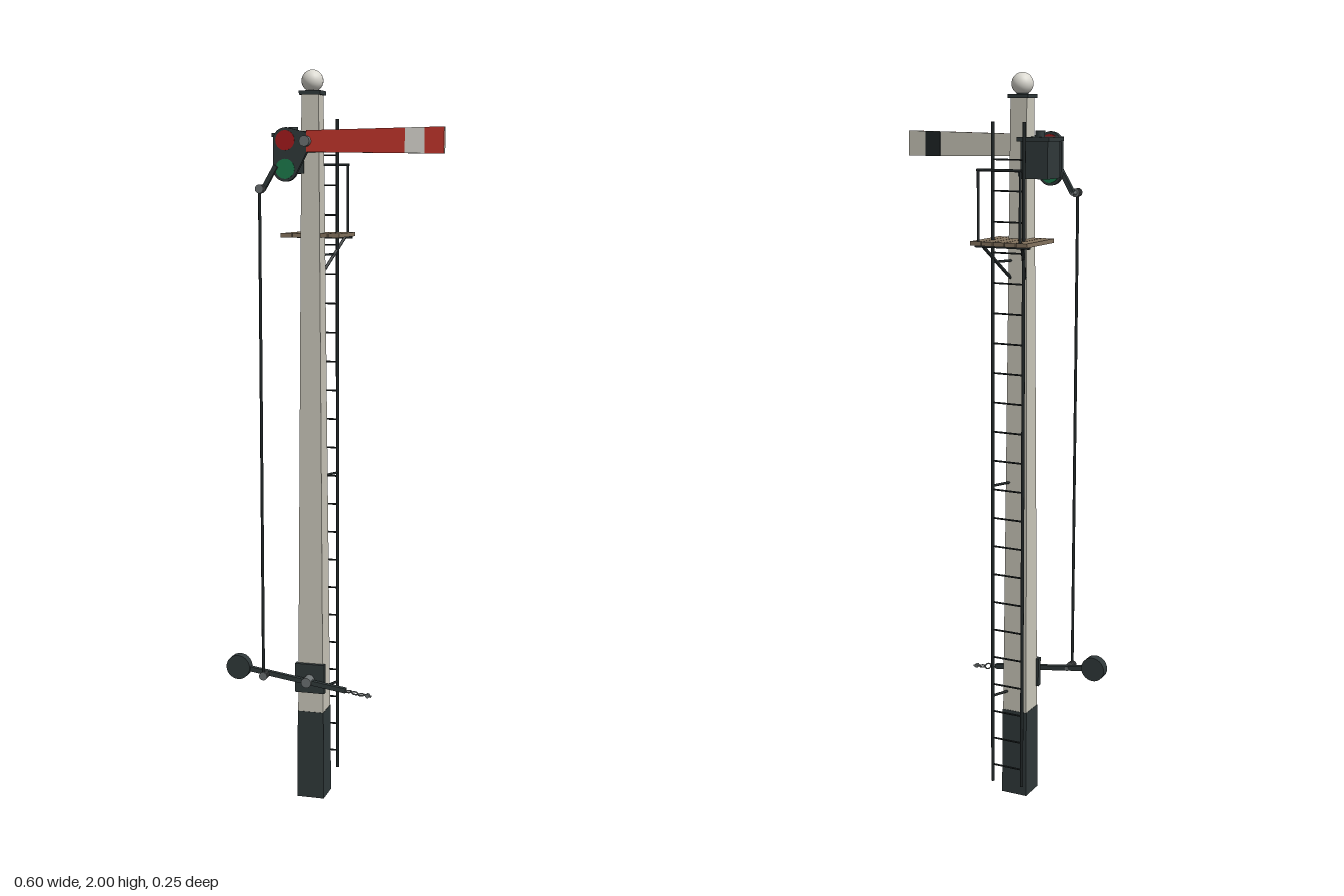
import * as THREE from 'three';

const mat = (name, color, extra = {}) => {
  const m = new THREE.MeshStandardMaterial({ color, ...extra });
  m.name = name;
  return m;
};

export function createModel() {
  const cream = mat('cream paint', 0xcac7ba);
  const white = mat('white paint', 0xdcdad2);
  const dark = mat('dark iron', 0x30393a);
  const black = mat('black iron', 0x1f2526);
  const steel = mat('steel', 0x6b7172);
  const red = mat('signal red', 0xc2352b);
  const redGlass = mat('red glass', 0xa31a1c);
  const greenGlass = mat('green glass', 0x1c7a4c);
  const wood = mat('weathered wood', 0x85745f);

  const model = new THREE.Group();
  model.name = 'semaphoreSignal';
  const PX = -0.07, PZ = 0.02;
  const V = (x, y, z) => new THREE.Vector3(x, y, z);

  const add = (name, geo, m, x = 0, y = 0, z = 0) => {
    const mesh = new THREE.Mesh(geo, m);
    mesh.name = name;
    mesh.position.set(x, y, z);
    model.add(mesh);
    return mesh;
  };
  // box given by its limits on each axis
  const box = (name, m, x0, x1, y0, y1, z0, z1) =>
    add(name, new THREE.BoxGeometry(x1 - x0, y1 - y0, z1 - z0), m, (x0 + x1) / 2, (y0 + y1) / 2, (z0 + z1) / 2);
  // round bar between two points
  const bar = (name, m, a, b, r, sides = 8) => {
    const mesh = add(name, new THREE.CylinderGeometry(r, r, a.distanceTo(b), sides), m);
    mesh.position.copy(a).lerp(b, 0.5);
    mesh.quaternion.setFromUnitVectors(V(0, 1, 0), b.clone().sub(a).normalize());
    return mesh;
  };
  // disc or pin lying along z
  const disc = (name, m, x, y, z0, z1, r, sides = 20) =>
    bar(name, m, V(x, y, z0), V(x, y, z1), r, sides);
  // flat bar in the xy plane
  const strap = (name, m, x0, y0, x1, y1, w, z0, z1) => {
    const mesh = add(name, new THREE.BoxGeometry(Math.hypot(x1 - x0, y1 - y0), w, z1 - z0), m,
      (x0 + x1) / 2, (y0 + y1) / 2, (z0 + z1) / 2);
    mesh.rotation.z = Math.atan2(y1 - y0, x1 - x0);
    return mesh;
  };
  // tapered square timber
  const timber = (name, m, y0, y1, w0, w1) => {
    const g = new THREE.CylinderGeometry(w1 * Math.SQRT1_2, w0 * Math.SQRT1_2, y1 - y0, 4).rotateY(Math.PI / 4).toNonIndexed();
    g.computeVertexNormals();
    return add(name, g, m, PX, (y0 + y1) / 2, PZ);
  };

  // post, cap and ball finial
  timber('postBase', dark, 0, 0.25, 0.076, 0.074);
  timber('post', cream, 0.25, 1.935, 0.072, 0.047);
  timber('postCap', dark, 1.934, 1.945, 0.058, 0.058);
  bar('finialNeck', dark, V(PX, 1.94, PZ), V(PX, 1.952, PZ), 0.016, 16);
  add('ballFinial', new THREE.SphereGeometry(0.029, 24, 16), white, PX, 1.971, PZ);

  // ladder with stays back to the post
  const LZ = -0.063;
  for (const s of [-1, 1]) {
    const x = PX + s * 0.045;
    bar('ladderStile', black, V(x, 0.05, LZ), V(x, 1.875, LZ), 0.0047);
  }
  for (let i = 0; i < 22; i++) {
    const y = 0.1 + i * 0.08;
    bar('ladderRung', black, V(PX - 0.045, y, LZ), V(PX + 0.045, y, LZ), 0.0025, 6);
  }
  for (const y of [0.305, 0.91, 1.515])
    for (const s of [-1, 1])
      bar('ladderStay', black, V(PX + s * 0.018, y, -0.002), V(PX + s * 0.045, y, LZ), 0.0035, 6);

  // platform planks, bearers and struts
  for (let i = 0; i < 5; i++) {
    const x = -0.154 + i * 0.033;
    box('platformPlank', wood, x, x + 0.0305, 1.562, 1.573, -0.126, 0.04);
  }
  for (const s of [-1, 1]) {
    bar('platformStrut', black, V(PX + s * 0.058, 1.562, -0.1), V(PX + s * 0.02, 1.465, 0), 0.0045, 6);
    bar('handrailPost', black, V(PX + s * 0.06, 1.565, -0.116), V(PX + s * 0.06, 1.755, -0.116), 0.0037);
  }
  box('platformBearer', black, -0.15, 0.006, 1.556, 1.562, -0.105, -0.095);
  bar('handrail', black, V(PX - 0.064, 1.755, -0.116), V(PX + 0.064, 1.755, -0.116), 0.0037);

  // lamp
  const LX = -0.125;
  box('lampBody', dark, LX - 0.039, LX + 0.039, 1.73, 1.825, -0.025, 0.052);
  box('lampRoof', dark, LX - 0.0465, LX + 0.0465, 1.825, 1.836, -0.033, 0.06);
  bar('lampVent', dark, V(LX, 1.836, 0.0135), V(LX, 1.852, 0.0135), 0.0125, 16);
  disc('lampLens', steel, LX - 0.005, 1.815, 0.05, 0.06, 0.02);
  box('lampBracket', dark, LX, PX, 1.735, 1.747, -0.005, 0.035);

  // semaphore arm, red in front and white behind, each with its stripe
  const slab = (name, m, x0, x1, z, depth) => {
    const h = x => 0.028 + 0.006 * (x + 0.07) / 0.368;
    const s = new THREE.Shape();
    s.moveTo(x0, -h(x0));
    s.lineTo(x1, -h(x1));
    s.lineTo(x1, h(x1));
    s.lineTo(x0, h(x0));
    return add(name, new THREE.ExtrudeGeometry(s, { depth, bevelEnabled: false }), m, 0, 1.813, z);
  };
  slab('armBoard', cream, -0.07, 0.298, 0.068, 0.013);
  slab('armFront', red, -0.07, 0.195, 0.081, 0.002);
  slab('armTip', red, 0.247, 0.298, 0.081, 0.002);
  slab('armFrontStripe', white, 0.195, 0.247, 0.081, 0.002);
  slab('armBackStripe', black, 0.2, 0.245, 0.0662, 0.0018);

  // pivot
  box('pivotBracket', dark, PX - 0.025, -0.025, 1.785, 1.84, 0.042, 0.064);
  disc('pivotBoss', steel, PX, 1.813, 0.06, 0.101, 0.014);

  // spectacle casting with two coloured glasses
  const SX = -0.128;
  const plate = new THREE.Shape();
  plate.moveTo(PX + 0.004, 1.835);
  plate.lineTo(SX, 1.85);
  plate.absarc(SX, 1.816, 0.033, Math.PI / 2, Math.PI, false);
  plate.lineTo(SX - 0.033, 1.742);
  plate.absarc(SX, 1.742, 0.033, Math.PI, Math.PI * 1.9, false);
  plate.lineTo(PX + 0.004, 1.79);
  for (const y of [1.816, 1.742]) {
    const hole = new THREE.Path();
    hole.absarc(SX, y, 0.026, 0, Math.PI * 2, true);
    plate.holes.push(hole);
  }
  add('spectacleFrame', new THREE.ExtrudeGeometry(plate, { depth: 0.014, bevelEnabled: false, curveSegments: 16 }), dark, 0, 0, 0.067);
  disc('redGlass', redGlass, SX, 1.816, 0.064, 0.082, 0.0262);
  disc('greenGlass', greenGlass, SX, 1.742, 0.064, 0.082, 0.0262);

  // crank, down rod and its pins
  const RX = -0.187, RZ = 0.117;
  strap('crank', dark, SX - 0.024, 1.75, RX, 1.69, 0.012, 0.078, 0.09);
  for (const y of [1.69, 0.363]) {
    disc('rodPin', steel, RX, y, 0.078, 0.122, 0.006, 12);
    for (const z of [0.102, 0.111, 0.12]) disc('rodCollar', steel, RX, y, z - 0.002, z + 0.002, 0.0115, 16);
  }
  bar('downRod', black, V(RX, 0.363, RZ), V(RX, 1.69, RZ), 0.0042);

  // balance lever and counterweight
  box('leverBracket', dark, PX - 0.042, PX + 0.042, 0.308, 0.39, 0.05, 0.066);
  disc('leverPivot', steel, PX, 0.347, 0.06, 0.101, 0.014);
  strap('balanceLever', dark, -0.267, 0.376, 0.04, 0.331, 0.013, 0.08, 0.093);
  disc('counterweight', dark, -0.267, 0.376, 0.075, 0.1, 0.034, 28);

  // chain at the end of the lever
  for (let i = 0; i < 3; i++) {
    const link = add('chainLink', new THREE.TorusGeometry(0.0085, 0.002, 6, 14), steel, 0.048 + i * 0.018, 0.329 - i * 0.003, 0.087);
    link.rotation.x = i % 2 ? 0.8 : Math.PI / 2;
  }
  bar('pullWire', steel, V(0.09, 0.324, 0.087), V(0.112, 0.32, 0.087), 0.003, 6);
  disc('wireEnd', steel, 0.102, 0.322, 0.082, 0.092, 0.006, 12);

  return model;
}
